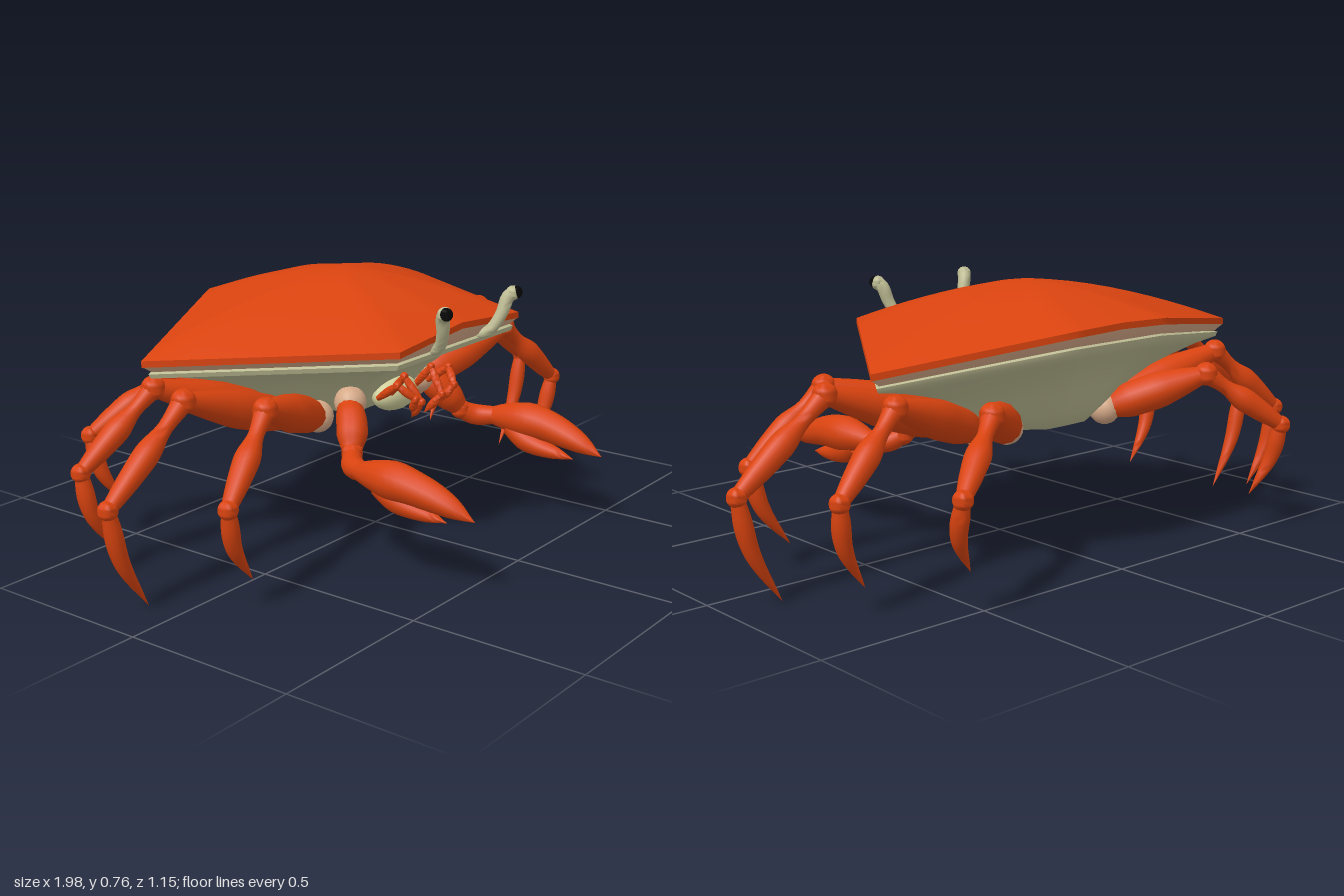
import * as THREE from 'three';
import { toCreasedNormals } from 'three/addons/utils/BufferGeometryUtils.js';

const mat = (color) => new THREE.MeshStandardMaterial({ color, side: THREE.DoubleSide });
const V = (p) => new THREE.Vector3(...p);

export function createModel() {
  const model = new THREE.Group();
  const orange = mat(0xd9430f), tan = mat(0xd6aa88), belly = mat(0xbfbd94), black = mat(0x080808);

  const add = (name, geo, material, parent = model, crease = 0.6) => {
    const mesh = new THREE.Mesh(toCreasedNormals(geo, crease), material);
    mesh.name = name;
    parent.add(mesh);
    return mesh;
  };

  // Rounded limb: a tube whose radius follows a short list of values
  const limb = (name, points, radii, material, parent) => {
    const path = new THREE.CatmullRomCurve3(points.map(V));
    const size = new THREE.CatmullRomCurve3(radii.map((r) => V([r, 0, 0])));
    const rings = 16, sides = 12;
    const geo = new THREE.TubeGeometry(path, rings, 1, sides);
    const pos = geo.attributes.position, v = new THREE.Vector3();
    for (let i = 0; i <= rings; i++) {
      const c = path.getPointAt(i / rings);
      const r = Math.max(0, size.getPoint(i / rings).x);
      for (let j = 0; j <= sides; j++) {
        const k = i * (sides + 1) + j;
        v.fromBufferAttribute(pos, k).sub(c).multiplyScalar(r).add(c);
        pos.setXYZ(k, v.x, v.y, v.z);
      }
    }
    return add(name, geo, material, parent, 1.2);
  };
  const ball = (name, p, r, material, parent) =>
    add(name, new THREE.SphereGeometry(r, 16, 12), material, parent, 1.2).position.set(...p);

  // Six-cornered outline: x, z, shell rim height, body rim height
  const half = [[0, 0.3, 0.665, 0.6], [0.29, 0.3, 0.64, 0.6], [0.67, -0.27, 0.605, 0.565],
    [0.17, -0.49, 0.685, 0.635], [0, -0.49, 0.69, 0.635]];
  const corners = [...half, ...half.slice(1, 4).reverse().map(([x, ...rest]) => [-x, ...rest])];
  const outline = [];
  corners.forEach((a, i) => {
    const b = corners[(i + 1) % corners.length];
    for (let k = 0; k < 6; k++) outline.push(a.map((n, m) => n + (b[m] - n) * k / 6));
  });

  // Skin between rings; each ring rule maps an outline point to a position
  const midZ = -0.12;
  const loft = (name, rules, material, crease) => {
    const n = outline.length, verts = [], index = [];
    rules.forEach((rule, i) => outline.forEach((p, j) => {
      verts.push(...rule(p));
      if (!i) return;
      const a = (i - 1) * n, b = i * n, k = (j + 1) % n;
      index.push(b + j, b + k, a + j, a + j, b + k, a + k);
    }));
    const geo = new THREE.BufferGeometry();
    geo.setAttribute('position', new THREE.Float32BufferAttribute(verts, 3));
    geo.setIndex(index);
    add(name, geo, material, model, crease);
  };
  const at = (p, s, y, sz = s) => [p[0] * s, y, midZ + (p[1] - midZ) * sz];

  // Domed shell with a thin rim
  const dome = [];
  for (let i = 0; i <= 10; i++) {
    const t = i / 10;
    dome.push((p) => at(p, t, 0.77 - (0.77 - p[2]) * t ** 1.5));
  }
  dome.push((p) => at(p, 1, p[2] - 0.018));
  loft('shell', dome, orange, 0.7);
  loft('shellUnderside', [
    (p) => at(p, 0.995, p[2] - 0.018), (p) => at(p, 0.97, p[3] + 0.012), (p) => at(p, 0.955, p[3] + 0.005),
  ], tan, 0.5);

  // Bowl-shaped belly: width scale, rear length scale, depth fraction
  const bowl = [[0.95, 0.95, -0.02], [0.97, 0.97, 0], [0.96, 0.96, 0.06], [0.83, 0.9, 0.13], [0.7, 0.82, 0.24],
    [0.58, 0.74, 0.36], [0.47, 0.66, 0.54], [0.39, 0.58, 0.75], [0.31, 0.48, 0.92], [0.2, 0.33, 0.99], [0, 0, 1]];
  loft('belly', bowl.map(([s, rear, f]) => (p) =>
    at(p, s, p[3] + (0.36 - p[3]) * f, p[1] < midZ ? rear : s)), belly, 0.8);

  // Mouth plates
  const mouth = add('mouthPlate', new THREE.SphereGeometry(1, 20, 12), mat(0xd0cf9c), model, 1.2);
  mouth.scale.set(0.09, 0.05, 0.05);
  mouth.position.set(0, 0.425, 0.07);

  // Walking legs, front to back: hip, knee, ankle, tip
  const legs = [
    [[0.23, 0.39, -0.03], [0.57, 0.51, 0.075], [0.78, 0.31, 0.13], [0.67, 0.08, 0.108]],
    [[0.25, 0.38, -0.1], [0.69, 0.53, -0.1], [0.965, 0.31, -0.105], [0.84, 0.01, -0.105]],
    [[0.24, 0.38, -0.18], [0.61, 0.515, -0.29], [0.83, 0.32, -0.35], [0.74, 0.08, -0.325]],
    [[0.19, 0.39, -0.24], [0.41, 0.49, -0.43], [0.61, 0.33, -0.55], [0.54, 0.12, -0.495]],
  ];
  // Small feeding legs beside the mouth
  const feelers = [
    [[0.12, 0.44, 0.1], [0.125, 0.49, 0.17], [0.095, 0.45, 0.21], [0.07, 0.4, 0.18]],
    [[0.06, 0.44, 0.1], [0.065, 0.5, 0.15], [0.05, 0.43, 0.2], [0.03, 0.37, 0.15]],
  ];
  const mix = (a, b, t) => a.map((n, i) => n + (b[i] - n) * t);

  for (const [side, label] of [[1, 'left'], [-1, 'right']]) {
    const flip = ([x, y, z]) => [x * side, y, z];
    const group = (name) => {
      const g = new THREE.Group();
      g.name = name;
      model.add(g);
      return g;
    };

    legs.forEach((joints, i) => {
      const g = group(`${label}Leg${i + 1}`);
      const [hip, knee, ankle, tip] = joints.map(flip);
      const bend = mix(ankle, tip, 0.5);
      bend[0] += side * 0.025;
      ball('hip', hip, 0.046, tan, g);
      limb('thigh', [hip, mix(hip, knee, 0.5), knee], [0.028, 0.052, 0.054, 0.042, 0.024], orange, g);
      ball('knee', knee, 0.034, orange, g);
      limb('shin', [knee, mix(knee, ankle, 0.5), ankle], [0.03, 0.021, 0.035, 0.03, 0.02], orange, g);
      ball('ankle', ankle, 0.027, orange, g);
      limb('foot', [ankle, bend, tip], [0.018, 0.025, 0.021, 0.012, 0], orange, g);
    });

    // Claw arm with a fixed lower and a larger upper finger
    const claw = group(`${label}Claw`);
    const clawLimb = (name, pts, radii) => limb(name, pts.map(flip), radii, orange, claw);
    ball('shoulder', flip([0.17, 0.43, 0.04]), 0.046, tan, claw);
    clawLimb('upperArm', [[0.18, 0.43, 0.04], [0.215, 0.39, 0.08], [0.26, 0.33, 0.115]], [0.03, 0.043, 0.044, 0.03]);
    ball('elbow', flip([0.265, 0.32, 0.12]), 0.03, orange, claw);
    clawLimb('forearm', [[0.265, 0.32, 0.12], [0.3, 0.3, 0.15], [0.325, 0.3, 0.2]], [0.026, 0.032, 0.028]);
    clawLimb('handAndUpperFinger', [[0.325, 0.298, 0.18], [0.335, 0.303, 0.27], [0.34, 0.3, 0.36],
      [0.335, 0.278, 0.46], [0.33, 0.24, 0.57]], [0.022, 0.042, 0.053, 0.047, 0.04, 0.027, 0]);
    clawLimb('lowerFinger', [[0.33, 0.275, 0.26], [0.325, 0.238, 0.34], [0.325, 0.216, 0.48]],
      [0.03, 0.036, 0.028, 0.018, 0]);

    feelers.forEach((joints, i) => {
      const g = group(`${label}Feeler${i + 1}`);
      const p = joints.map(flip);
      p.slice(1).forEach((b, k) => {
        limb('segment', [p[k], mix(p[k], b, 0.5), b], [0.008, 0.012, k === 2 ? 0 : 0.008], orange, g);
        if (k < 2) ball('joint', b, 0.012, orange, g);
      });
    });

    // Eye stalk with a dark eye on its front
    const eye = group(`${label}Eye`);
    limb('stalk', [[0.11, 0.6, 0.27], [0.125, 0.622, 0.31], [0.145, 0.67, 0.335], [0.16, 0.715, 0.345], [0.17, 0.728, 0.36]]
      .map(flip), [0.014, 0.016, 0.017, 0.019, 0.02], belly, eye);
    ball('stalkEnd', flip([0.168, 0.726, 0.356]), 0.021, belly, eye);
    ball('eye', flip([0.172, 0.728, 0.363]), 0.0185, black, eye);
  }
  return model;
}
